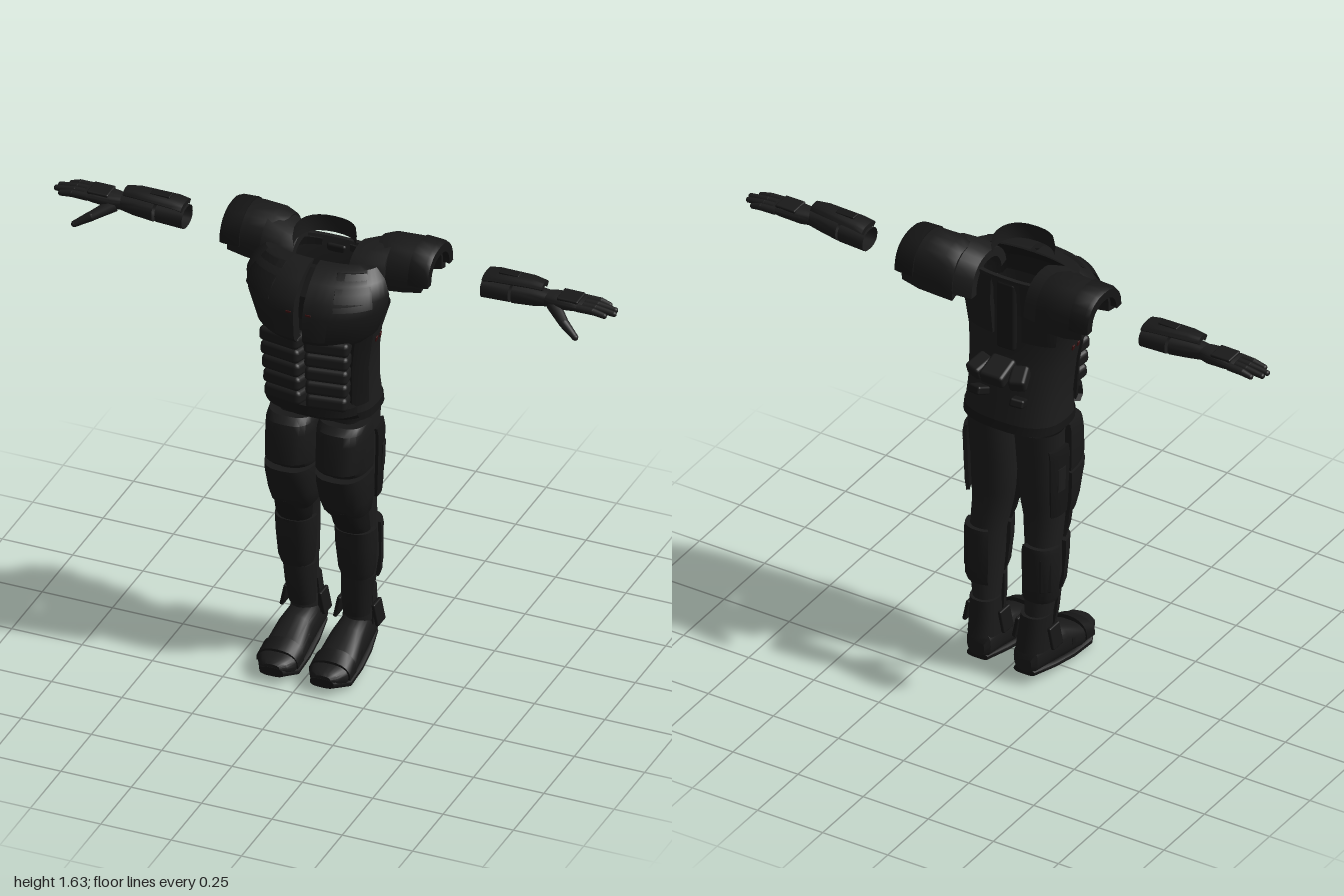
import * as THREE from 'three';
import { toCreasedNormals } from 'three/addons/utils/BufferGeometryUtils.js';
import { RoundedBoxGeometry } from 'three/addons/geometries/RoundedBoxGeometry.js';

const mat = (name, color, side = THREE.DoubleSide) =>
  new THREE.MeshStandardMaterial({ name, color, side });
const armour = mat('armour black', 0x191919, THREE.FrontSide);
const suit = mat('suit charcoal', 0x1c1c1c);
const trim = mat('trim black', 0x151515);
const lining = mat('lining dark red', 0x3a1010);

// Row: [position on axis, centre u, centre v, radius u, radius v]; angle 0 points along +v.
const place = { x: (t, u, v) => [t, v, u], y: (t, u, v) => [u, t, v], z: (t, u, v) => [u, v, t] };
const spow = (v, p) => Math.sign(v) * Math.pow(Math.abs(v), p);

function arc(axis, [t, cu, cv, ru, rv], from, to, n, pow) {
  return Array.from({ length: n + 1 }, (_, i) => {
    const a = THREE.MathUtils.degToRad(from + (to - from) * i / n);
    return place[axis](t, cu + ru * spow(Math.sin(a), pow), cv + rv * spow(Math.cos(a), pow));
  });
}

// Joins closed loops of equal length; ends are closed by pairing opposite points.
function loft(loops, caps, inward = false) {
  const n = loops[0].length, index = [];
  const quad = (a, b, c, d) => index.push(a, b, c, a, c, d);
  for (let j = 0; j < loops.length - 1; j++)
    for (let i = 0; i < n; i++) {
      const k = (i + 1) % n;
      quad(j * n + i, j * n + k, (j + 1) * n + k, (j + 1) * n + i);
    }
  if (caps) {
    const e = (loops.length - 1) * n;
    for (let i = 0; i < Math.floor(n / 2) - 1 + (n % 2); i++) {
      quad(i, n - 1 - i, n - 2 - i, i + 1);
      quad(e + i, e + i + 1, e + n - 2 - i, e + n - 1 - i);
    }
  }
  // Turn the faces outward, or inward on request.
  const p = loops.flat().map(q => new THREE.Vector3(...q));
  const mid = p.reduce((s, q) => s.add(q), new THREE.Vector3()).divideScalar(p.length);
  p.forEach(q => q.sub(mid));
  let volume = 0;
  for (let i = 0; i < index.length; i += 3)
    volume += p[index[i]].dot(p[index[i + 1]].clone().cross(p[index[i + 2]]));
  if ((volume < 0) !== inward) index.reverse();
  const g = new THREE.BufferGeometry();
  g.setAttribute('position', new THREE.Float32BufferAttribute(loops.flat(2), 3));
  g.setIndex(index);
  return toCreasedNormals(g, 0.6);
}

const tube = (axis, rows, caps = false, pow = 0.85, n = 24, inward = false) =>
  loft(rows.map(r => arc(axis, r, 0, 360 * (1 - 1 / n), n - 1, pow)), caps, inward);

// A curved plate with thickness, covering part of a ring.
const plate = (axis, rows, from, to, thick = 0.02, pow = 0.85) =>
  loft(rows.map(r => [
    ...arc(axis, r, from, to, 12, pow),
    ...arc(axis, [r[0], r[1], r[2], r[3] - thick, r[4] - thick], to, from, 12, pow),
  ]), true);

function add(parent, name, geometry, material, pos = [0, 0, 0], rot = [0, 0, 0]) {
  const m = new THREE.Mesh(geometry, material);
  m.name = name;
  m.position.set(...pos);
  m.rotation.set(...rot);
  parent.add(m);
  return m;
}
const block = (w, h, d, r = 0.01) => new RoundedBoxGeometry(w, h, d, 2, r);

function rod(parent, name, a, b, ra, rb, material) {
  const A = new THREE.Vector3(...a), B = new THREE.Vector3(...b), d = B.clone().sub(A);
  const m = add(parent, name, new THREE.CylinderGeometry(rb, ra, d.length(), 10), material);
  m.position.copy(A).add(B).multiplyScalar(0.5);
  m.quaternion.setFromUnitVectors(new THREE.Vector3(0, 1, 0), d.normalize());
  add(parent, name + 'Tip', new THREE.SphereGeometry(rb, 10, 8), material, b);
}

function buildLeg(s) {
  add(s, 'legSuit', tube('y', [
    [0.96, 0.09, -0.055, 0.084, 0.085], [0.78, 0.09, -0.045, 0.08, 0.072],
    [0.66, 0.094, -0.04, 0.076, 0.067], [0.6, 0.098, -0.038, 0.07, 0.065], [0.5, 0.105, -0.055, 0.062, 0.06],
    [0.4, 0.108, -0.06, 0.062, 0.064], [0.25, 0.1, -0.072, 0.046, 0.055],
    [0.12, 0.095, -0.08, 0.046, 0.06]], false, 1), suit);
  add(s, 'upperThighPlate', plate('y', [
    [0.775, 0.09, 0.0, 0.086, 0.12], [0.795, 0.09, 0, 0.089, 0.142],
    [0.9, 0.09, 0, 0.089, 0.135], [0.935, 0.09, 0, 0.088, 0.125], [0.955, 0.09, 0, 0.084, 0.1]], -90, 90, 0.03, 0.7), armour);
  add(s, 'lowerThighPlate', plate('y', [
    [0.585, 0.094, 0, 0.062, 0.065], [0.61, 0.092, 0, 0.078, 0.085], [0.66, 0.091, 0, 0.087, 0.108],
    [0.74, 0.091, 0, 0.09, 0.138], [0.768, 0.091, 0, 0.089, 0.143]], -90, 90, 0.03, 0.7), armour);
  add(s, 'kneePlate', plate('y', [
    [0.5, 0.105, -0.03, 0.056, 0.05], [0.55, 0.102, -0.02, 0.064, 0.085],
    [0.62, 0.098, -0.01, 0.068, 0.1]], -80, 80, 0.03), trim);
  add(s, 'shinPlate', plate('y', [
    [0.33, 0.107, -0.05, 0.054, 0.065], [0.36, 0.107, -0.05, 0.063, 0.076],
    [0.46, 0.106, -0.045, 0.071, 0.08], [0.52, 0.106, -0.045, 0.071, 0.087]], -85, 85, 0.02, 0.75), armour);
  add(s, 'lowerShinPlate', plate('y', [
    [0.17, 0.096, -0.06, 0.046, 0.05], [0.25, 0.1, -0.06, 0.054, 0.064],
    [0.325, 0.104, -0.06, 0.058, 0.066]], -85, 85, 0.02), armour);
  add(s, 'thighSidePlate', plate('y', [
    [0.64, 0.1, -0.045, 0.079, 0.08], [0.68, 0.1, -0.045, 0.082, 0.088],
    [0.87, 0.092, -0.045, 0.096, 0.1], [0.9, 0.091, -0.045, 0.092, 0.098]], 80, 130, 0.012), trim);
  add(s, 'thighSideInset', plate('y', [
    [0.74, 0.097, -0.045, 0.09, 0.095], [0.83, 0.094, -0.045, 0.096, 0.1]], 92, 112, 0.008), suit);
  add(s, 'calfGuard', plate('y', [
    [0.31, 0.106, -0.065, 0.06, 0.064], [0.33, 0.107, -0.065, 0.066, 0.07],
    [0.5, 0.108, -0.062, 0.07, 0.074], [0.52, 0.108, -0.062, 0.067, 0.07]], 92, 215, 0.015), armour);
  add(s, 'calfGuardRidge', block(0.04, 0.13, 0.012, 0.004), trim, [0.15, 0.42, -0.115], [0, 2.4, 0]);
  // Boot and ankle guards
  add(s, 'boot', tube('z', [
    [-0.155, 0.09, 0.08, 0.03, 0.03], [-0.14, 0.09, 0.09, 0.046, 0.053], [-0.06, 0.092, 0.095, 0.056, 0.066],
    [0.02, 0.093, 0.082, 0.062, 0.066], [0.1, 0.093, 0.06, 0.07, 0.047], [0.17, 0.092, 0.05, 0.068, 0.037],
    [0.205, 0.09, 0.055, 0.05, 0.026], [0.22, 0.09, 0.058, 0.03, 0.014]], true, 0.8), armour);
  add(s, 'bootSole', tube('z', [
    [-0.15, 0.09, 0.048, 0.04, 0.012], [-0.05, 0.092, 0.036, 0.06, 0.014], [0.05, 0.093, 0.024, 0.07, 0.014],
    [0.15, 0.093, 0.02, 0.073, 0.015], [0.222, 0.09, 0.045, 0.042, 0.016]], true, 0.65), trim);
  add(s, 'soleMark', block(0.03, 0.006, 0.03, 0.002), lining, [0.093, 0.007, 0.09], [0.06, 0, 0]);
  for (const [z, y, r] of [[0.04, 0.075, 0.066], [0.115, 0.055, 0.074]])
    add(s, 'bootBand', plate('z', [[z, 0.093, y, r, r * 0.85], [z + 0.05, 0.093, y - 0.008, r, r * 0.68]], -95, 95, 0.016), trim);
  add(s, 'heelGuard', plate('y', [
    [0.12, 0.092, -0.085, 0.056, 0.072], [0.18, 0.094, -0.085, 0.053, 0.06],
    [0.25, 0.098, -0.08, 0.05, 0.058]], 80, 280, 0.016), armour);
  for (const side of [-1, 1])
    add(s, 'ankleGuard', block(0.014, 0.08, 0.06, 0.005), trim,
      [0.095 + side * 0.068, 0.17, -0.075], [0, 0, side * 0.2]);
}

function buildArm(s) {
  add(s, 'gauntlet', tube('x', [
    [0.53, -0.105, 1.495, 0.046, 0.037], [0.628, -0.105, 1.497, 0.044, 0.035]]), suit);
  add(s, 'cuff', tube('x', [
    [0.638, -0.103, 1.497, 0.043, 0.036], [0.71, -0.1, 1.5, 0.036, 0.032],
    [0.76, -0.1, 1.502, 0.03, 0.025]]), suit);
  add(s, 'forearmPlate', plate('x', [
    [0.535, -0.105, 1.5, 0.052, 0.052], [0.57, -0.105, 1.5, 0.052, 0.06],
    [0.7, -0.102, 1.502, 0.043, 0.064], [0.745, -0.1, 1.505, 0.034, 0.056]], -52, 52, 0.016, 0.7), armour);
  add(s, 'forearmPanel', block(0.07, 0.008, 0.03, 0.003), trim, [0.62, 1.562, -0.103]);
  add(s, 'palm', tube('x', [
    [0.73, -0.1, 1.502, 0.026, 0.023], [0.78, -0.102, 1.502, 0.038, 0.027],
    [0.85, -0.105, 1.507, 0.046, 0.021], [0.885, -0.105, 1.507, 0.044, 0.014]], true), suit);
  add(s, 'knucklePlate', block(0.075, 0.012, 0.07, 0.005), armour, [0.835, 1.524, -0.105]);
  // Fingers and thumb
  [[-0.141, 0.955], [-0.118, 0.985], [-0.095, 0.99], [-0.072, 0.965]].forEach(([z, tip]) => {
    rod(s, 'finger', [0.87, 1.507, z], [0.925, 1.506, z * 1.02], 0.0135, 0.0125, suit);
    rod(s, 'fingerEnd', [0.925, 1.506, z * 1.02], [tip, 1.499, z * 1.02], 0.0125, 0.01, suit);
  });
  rod(s, 'thumbBase', [0.78, 1.492, -0.085], [0.84, 1.462, -0.035], 0.024, 0.017, suit);
  rod(s, 'thumb', [0.84, 1.462, -0.035], [0.89, 1.434, -0.01], 0.017, 0.011, suit);
}

function buildUpperSide(s) {
  add(s, 'chestPlate', plate('y', [
    [1.3, 0, 0, 0.195, 0.185], [1.33, 0, 0, 0.215, 0.21], [1.42, 0, 0, 0.248, 0.214],
    [1.47, 0, 0, 0.255, 0.2], [1.52, 0, 0, 0.235, 0.15], [1.55, 0, 0, 0.2, 0.09]], 3, 80, 0.04, 0.92), armour);
  add(s, 'collarbonePlate', plate('y', [
    [1.45, 0, 0, 0.262, 0.21], [1.5, 0, 0, 0.25, 0.178], [1.545, 0, 0, 0.21, 0.106]], 24, 58, 0.02, 0.92), trim);
  add(s, 'shoulderBridge', plate('x', [
    [0.1, -0.06, 1.44, 0.11, 0.132], [0.15, -0.07, 1.45, 0.12, 0.138], [0.22, -0.09, 1.46, 0.115, 0.14]], -88, 75, 0.03), suit);
  add(s, 'shoulderPad', plate('x', [
    [0.16, -0.095, 1.47, 0.1, 0.12], [0.2, -0.1, 1.48, 0.105, 0.125],
    [0.28, -0.105, 1.485, 0.104, 0.122], [0.345, -0.105, 1.495, 0.103, 0.108]], -105, 98, 0.035), armour);
  add(s, 'shoulderCuff', plate('x', [
    [0.3, -0.105, 1.49, 0.108, 0.12], [0.355, -0.105, 1.492, 0.11, 0.113], [0.37, -0.105, 1.492, 0.106, 0.106]], -90, 88, 0.03), trim);
  // Abdominal plates
  for (let i = 0; i < 5; i++) {
    const y = 1.075 + i * 0.055, w = 0.14 + i * 0.003;
    add(s, 'abdominalPlate', block(w, 0.051, 0.07, 0.016), armour,
      [0.004 + w / 2, y, 0.133 + 0.004 * i], [-0.1, 0.18, 0]);
  }
  add(s, 'flankPlate', plate('y', [
    [1.04, 0, -0.02, 0.181, 0.145], [1.18, 0, -0.01, 0.184, 0.145], [1.32, 0, 0, 0.205, 0.145]], 46, 75, 0.02, 0.75), trim);
  add(s, 'backBladePlate', plate('y', [
    [1.3, 0, 0, 0.205, 0.112], [1.42, 0, 0, 0.225, 0.12], [1.53, 0, 0, 0.2, 0.125]], 130, 170, 0.02, 0.75), armour);
  add(s, 'backPouch', block(0.06, 0.05, 0.08, 0.012), armour, [0.075, 1.19, -0.155], [-0.35, -0.3, 0]);
  add(s, 'backTab', block(0.05, 0.03, 0.06, 0.008), trim, [0.075, 1.1, -0.16], [0.4, -0.25, 0]);
  // Traces of lining at the flank and breast
  for (const z of [-0.015, 0.015])
    add(s, 'liningPatch', block(0.006, 0.018, 0.014, 0.002), lining, [0.195, 1.275, z], [0, 0, -0.17]);
  add(s, 'breastLining', block(0.02, 0.008, 0.008, 0.002), lining, [0.035, 1.43, 0.207]);
}

export function createModel() {
  const model = new THREE.Group();
  model.name = 'armourSuit';

  // Torso shell, open at the neck, arms and waist
  add(model, 'torsoSuit', tube('y', [
    [0.98, 0, -0.035, 0.18, 0.135], [1.08, 0, -0.025, 0.174, 0.125], [1.2, 0, -0.01, 0.182, 0.115],
    [1.3, 0, 0.005, 0.2, 0.108], [1.4, 0, 0.01, 0.232, 0.11]], false, 0.75, 36), suit);
  add(model, 'upperFront', plate('y', [
    [1.38, 0, 0.01, 0.225, 0.15], [1.46, 0, 0.01, 0.225, 0.14], [1.535, 0, 0.01, 0.19, 0.07]], -78, 78, 0.02, 0.92), trim);
  add(model, 'upperBack', plate('y', [
    [1.39, 0, 0.01, 0.225, 0.11], [1.48, 0, -0.01, 0.215, 0.1], [1.54, 0, -0.03, 0.18, 0.1]], 130, 230, 0.015, 0.75), suit);
  add(model, 'waistBand', plate('y', [
    [1.0, 0, 0, 0.18, 0.13], [1.02, 0, 0, 0.18, 0.16], [1.05, 0, 0, 0.177, 0.158]], -60, 60, 0.03, 0.7), trim);
  add(model, 'hemBand', tube('y', [
    [0.975, 0, -0.035, 0.183, 0.138], [1.005, 0, -0.032, 0.182, 0.135]], false, 0.75, 36), trim);
  add(model, 'spinePlate', block(0.07, 0.26, 0.025), trim, [0, 1.39, -0.112]);
  add(model, 'backPack', block(0.09, 0.05, 0.1, 0.012), armour, [0, 1.2, -0.165], [-0.3, 0, 0]);

  // Floating collar, a single skin facing inward
  add(model, 'collar', tube('y', [
    [1.57, 0, -0.01, 0.1, 0.088], [1.6, 0, -0.01, 0.104, 0.092],
    [1.63, 0, -0.012, 0.1, 0.088]], false, 0.85, 24, true), armour);

  for (const side of [1, -1]) {
    const half = new THREE.Group();
    half.name = side > 0 ? 'leftSide' : 'rightSide';
    for (const [name, build] of [['leg', buildLeg], ['arm', buildArm], ['upperBody', buildUpperSide]]) {
      const g = new THREE.Group();
      g.name = name;
      build(g);
      half.add(g);
    }
    half.scale.x = side;
    model.add(half);
  }
  return model;
}
